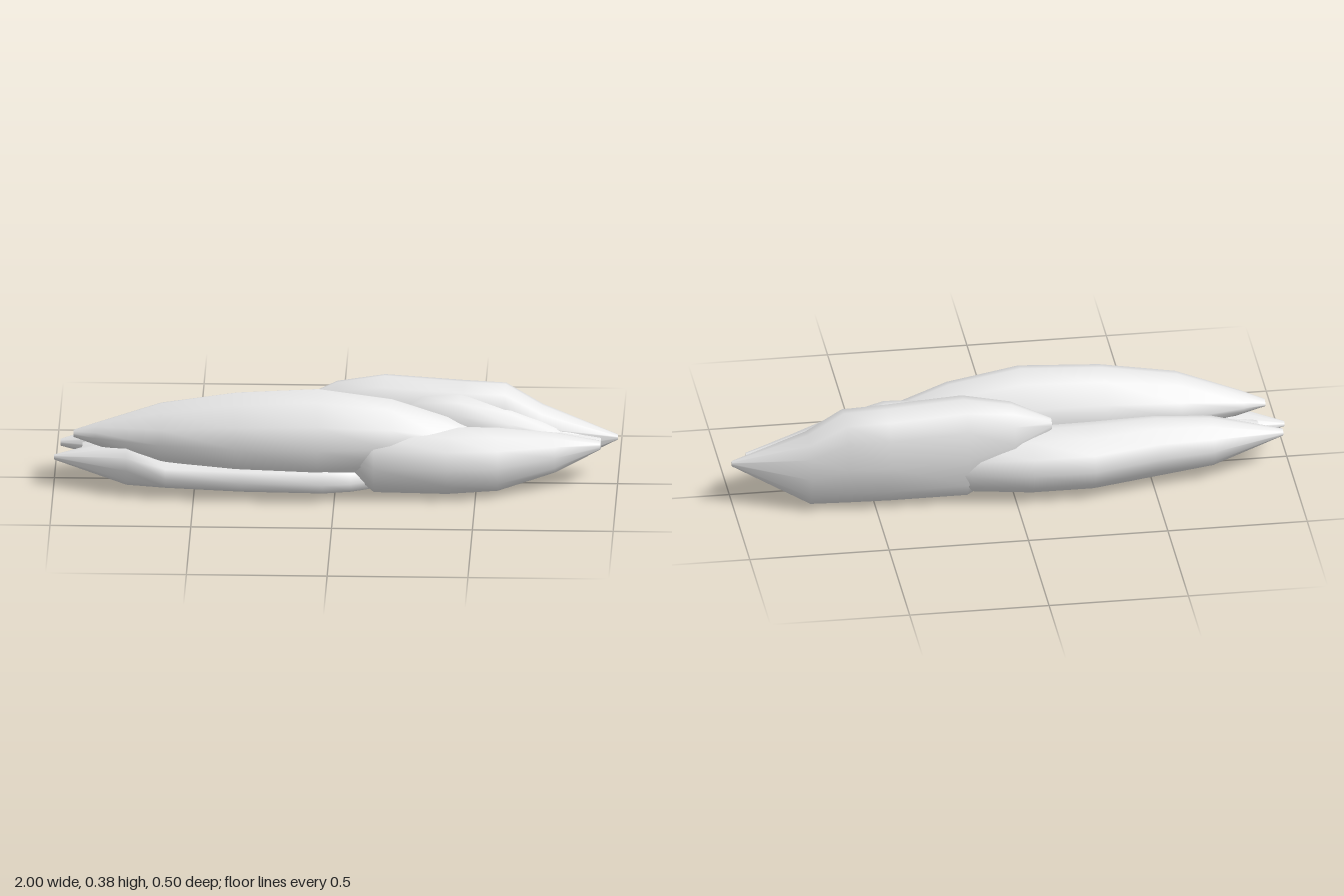
import * as THREE from 'three';

const cloudGrey = new THREE.MeshStandardMaterial({ color: 0xe7e7e7 });
cloudGrey.name = 'cloudGrey';

// Each puff is a spindle along x; stations are [x, centre y, centre z, half height, half depth].
// A lower roundness gives a boxier cross-section.
const puffs = {
  frontUpperPuff: { roundness: 1.12, stations: [
    [-0.93, 0.19, 0.06, 0.012, 0.02], [-0.85, 0.193, 0.07, 0.04, 0.05],
    [-0.62, 0.2, 0.085, 0.115, 0.125], [-0.35, 0.2, 0.09, 0.16, 0.152],
    [-0.06, 0.2, 0.09, 0.177, 0.163], [0.2, 0.195, 0.08, 0.143, 0.135],
    [0.4, 0.18, 0.07, 0.09, 0.095], [0.58, 0.17, 0.06, 0.02, 0.02],
  ] },
  frontRightPuff: { roundness: 0.88, stations: [
    [0.06, 0.14, 0.13, 0.06, 0.06], [0.14, 0.13, 0.122, 0.118, 0.12],
    [0.4, 0.125, 0.112, 0.12, 0.125], [0.58, 0.12, 0.08, 0.113, 0.117],
    [0.78, 0.125, 0.025, 0.072, 0.065], [0.94, 0.145, 0, 0.015, 0.018],
  ] },
  backRightPuff: { roundness: 0.8, stations: [
    [-0.14, 0.25, -0.1, 0.02, 0.02], [0, 0.22, -0.1, 0.115, 0.09],
    [0.17, 0.183, -0.092, 0.182, 0.125], [0.45, 0.173, -0.09, 0.173, 0.125],
    [0.6, 0.17, -0.087, 0.17, 0.118], [0.73, 0.132, -0.085, 0.13, 0.1],
    [1, 0.155, -0.06, 0.008, 0.012],
  ] },
  middlePuff: { roundness: 0.9, stations: [
    [0.2, 0.22, -0.01, 0.04, 0.03], [0.3, 0.22, -0.01, 0.1, 0.08],
    [0.44, 0.215, -0.01, 0.11, 0.095], [0.62, 0.19, -0.02, 0.09, 0.085],
    [0.8, 0.16, -0.035, 0.04, 0.04], [0.92, 0.15, -0.035, 0.012, 0.02],
  ] },
  backLeftPuff: { roundness: 1.03, stations: [
    [-0.98, 0.12, -0.04, 0.012, 0.015], [-0.72, 0.12, -0.065, 0.088, 0.093],
    [-0.52, 0.123, -0.08, 0.108, 0.113], [-0.28, 0.12, -0.11, 0.115, 0.142],
    [-0.06, 0.12, -0.11, 0.115, 0.142], [0.16, 0.12, -0.11, 0.1, 0.107], [0.42, 0.12, -0.1, 0.03, 0.03],
  ] },
  frontLowerPuff: { roundness: 0.88, stations: [
    [-1, 0.1, 0.06, 0.008, 0.012], [-0.74, 0.1, 0.085, 0.08, 0.115],
    [-0.6, 0.078, 0.09, 0.06, 0.135], [-0.33, 0.073, 0.085, 0.064, 0.16],
    [-0.04, 0.07, 0.08, 0.065, 0.168], [0.06, 0.065, 0.06, 0.06, 0.16], [0.25, 0.05, 0, 0.045, 0.08],
  ] },
  bellyPuff: { roundness: 0.72, stations: [
    [-0.9, 0.11, 0.015, 0.025, 0.035], [-0.68, 0.1, 0.01, 0.08, 0.1],
    [-0.35, 0.1, 0, 0.094, 0.145], [0, 0.1, 0, 0.1, 0.165],
    [0.35, 0.1, 0, 0.098, 0.165], [0.62, 0.1, -0.015, 0.096, 0.135],
    [0.78, 0.12, -0.02, 0.075, 0.078], [0.94, 0.145, -0.03, 0.015, 0.02],
  ] },
};

// Rings joined into a closed, smooth skin
function spindle({ roundness, stations }, sides = 12) {
  const positions = [], index = [];
  const soften = (v) => Math.sign(v) * Math.pow(Math.abs(v), roundness);
  for (const [x, y, z, ry, rz] of stations) {
    for (let j = 0; j < sides; j++) {
      const a = (j / sides) * Math.PI * 2;
      positions.push(x, y + ry * soften(Math.cos(a)), z + rz * soften(Math.sin(a)));
    }
  }
  const last = (stations.length - 1) * sides;
  const startCap = positions.length / 3, endCap = startCap + 1;
  positions.push(...stations[0].slice(0, 3), ...stations.at(-1).slice(0, 3));
  for (let j = 0; j < sides; j++) {
    const k = (j + 1) % sides;
    for (let r = 0; r < last; r += sides) {
      index.push(r + j, r + k, r + sides + k, r + j, r + sides + k, r + sides + j);
    }
    index.push(startCap, k, j, endCap, last + j, last + k);
  }
  const geometry = new THREE.BufferGeometry();
  geometry.setAttribute('position', new THREE.Float32BufferAttribute(positions, 3));
  geometry.setIndex(index);
  geometry.computeVertexNormals();
  return geometry;
}

export function createModel() {
  const cloud = new THREE.Group();
  cloud.name = 'cloud';
  for (const [name, shape] of Object.entries(puffs)) {
    const puff = new THREE.Mesh(spindle(shape), cloudGrey);
    puff.name = name;
    cloud.add(puff);
  }
  return cloud;
}
